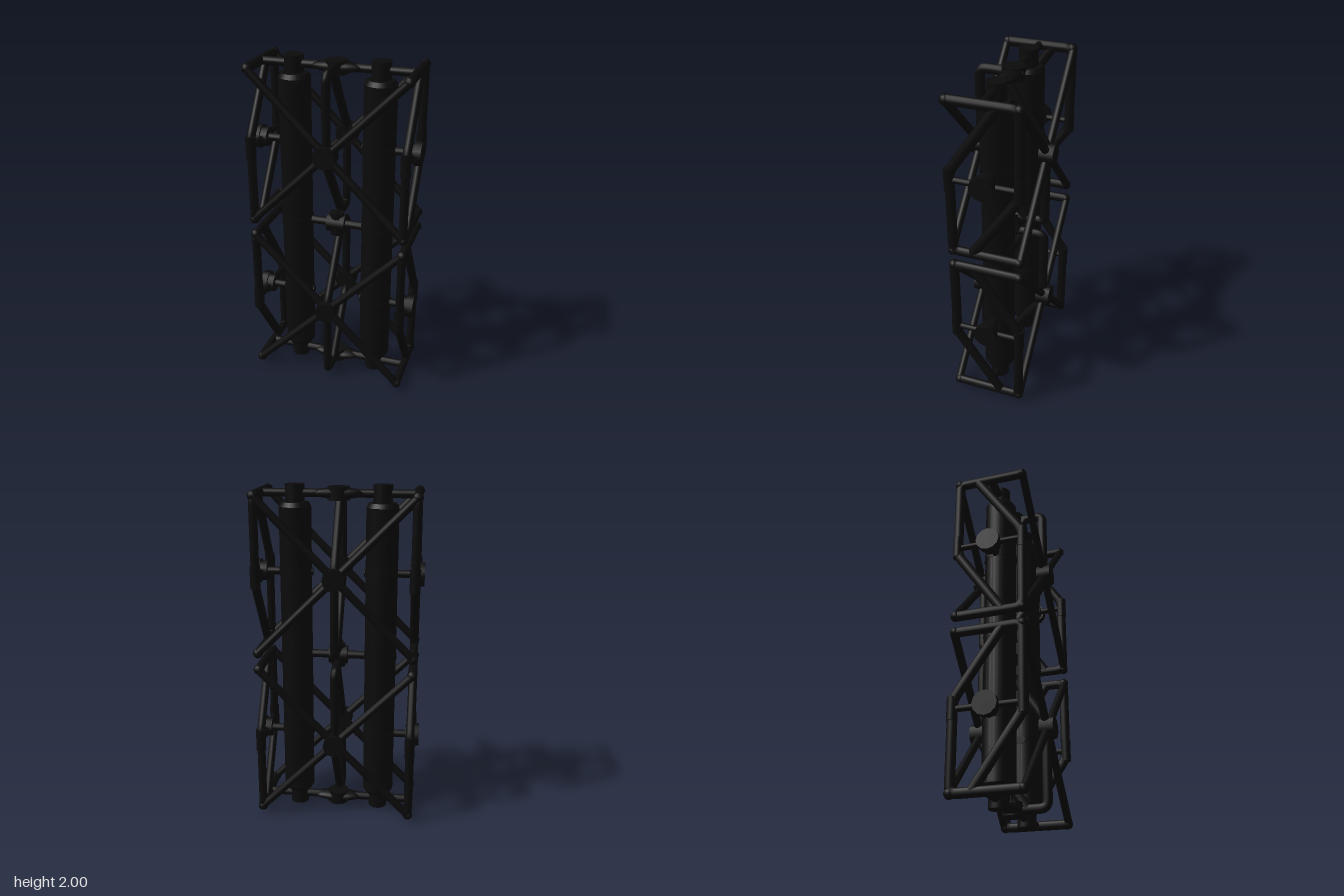
import * as THREE from 'three';

export function createModel() {
  const model = new THREE.Group();
  const black = new THREE.MeshStandardMaterial({ color: 0x0b0b0b });
  black.name = 'matte black';
  const v = (x, y, z) => new THREE.Vector3(x, y, z);
  const up = v(0, 1, 0);

  const add = (name, geometry, parent) => {
    const mesh = new THREE.Mesh(geometry, black);
    mesh.name = name;
    parent.add(mesh);
    return mesh;
  };
  // round bar between two points
  const bar = (name, a, b, r, parent, sides = 12) => {
    const d = b.clone().sub(a);
    const mesh = add(name, new THREE.CylinderGeometry(r, r, d.length(), sides), parent);
    mesh.position.copy(a).addScaledVector(d, 0.5);
    mesh.quaternion.setFromUnitVectors(up, d.normalize());
  };
  // tube through points, with rounded bends, slightly flattened across x
  const bentTube = (name, points, r, parent) => {
    const path = new THREE.CurvePath();
    let start = points[0];
    for (let i = 1; i < points.length - 1; i++) {
      const p = points[i];
      const before = p.clone().add(points[i - 1].clone().sub(p).setLength(0.04));
      const after = p.clone().add(points[i + 1].clone().sub(p).setLength(0.04));
      path.add(new THREE.LineCurve3(start, before));
      path.add(new THREE.QuadraticBezierCurve3(before, p, after));
      start = after;
    }
    path.add(new THREE.LineCurve3(start, points[points.length - 1]));
    return add(name, new THREE.TubeGeometry(path, 90, r, 12).scale(0.85, 1, 1), parent);
  };

  // two long tanks with stepped end caps and thin bands
  const profile = [[0, 0], [0.055, 0], [0.055, 0.1], [0.078, 0.1], [0.093, 0.125],
    [0.093, 1.875], [0.078, 1.9], [0.055, 1.9], [0.055, 2], [0, 2]];
  for (const sx of [-1, 1]) {
    const tank = new THREE.Group();
    tank.name = sx > 0 ? 'leftTank' : 'rightTank';
    tank.position.x = sx * 0.25;
    for (let i = 0; i < profile.length - 1; i++) {
      const pair = [profile[i], profile[i + 1]].map(p => new THREE.Vector2(...p));
      add('tankShell', new THREE.LatheGeometry(pair, 24), tank);
    }
    for (const y of [0.5, 1, 1.5]) {
      add('tankBand', new THREE.CylinderGeometry(0.097, 0.097, 0.04, 24), tank).position.y = y;
    }
    model.add(tank);
  }

  // one truss bay; heights are measured from its middle, s mirrors it vertically
  const makeBay = (name, cy, s) => {
    const bay = new THREE.Group();
    bay.name = name;
    const p = (x, y, z) => v(x, cy + s * y, z);
    const H = 0.45, X = 0.448, Z = 0.2, frameZ = 0.194;

    // bent frame: end rail, half post and slanted rail, twice; f flips front and back
    const bentFrame = (x, f, railEnd) => {
      for (const k of [-1, 1]) {
        const q = (y, z) => p(0, k * y, k * f * z);
        bentTube('bentFrame',
          [q(H, railEnd), q(H, -frameZ), q(-0.05, -frameZ), q(-H, 0.08)], 0.029, bay)
          .position.x = x;
      }
    };
    bentFrame(-X, 1, frameZ);
    bentFrame(X, 1, frameZ);
    bentFrame(0, -1, 0.06);

    for (const sz of [-1, 1]) {
      // crossed braces and hub on the broad faces
      for (const sx of [-1, 1]) {
        bar('crossBrace', p(-sx * 0.445, sx * 0.445, sz * Z), p(sx * 0.445, -sx * 0.445, sz * Z), 0.0235, bay);
        bar('crossBrace', p(0, 0, sz * Z), p(sx * 0.445, sx * 0.445, sz * Z), 0.0235, bay);
      }
      bar('faceHub', p(0, 0, sz * 0.165), p(0, 0, sz * 0.248), 0.064, bay);
    }
    for (const sx of [-1, 1]) {
      const x = sx * X;
      // stepped side hub with its strut into the tank
      bar('middleRail', p(x, 0, -Z), p(x, 0, Z), 0.018, bay);
      bar('sideHub', p(sx * 0.415, 0, 0), p(sx * 0.46, 0, 0), 0.058, bay);
      bar('sideHubCap', p(sx * 0.455, 0, 0), p(sx * 0.497, 0, 0), 0.07, bay);
      bar('hubStrut', p(sx * 0.15, 0, 0), p(sx * 0.46, 0, 0), 0.023, bay);
      for (const sz of [-1, 1]) {
        bar('jointSleeve', p(x, -0.065, sz * 0.196), p(x, 0.065, sz * 0.196), 0.03, bay);
        for (const y of [-H, H]) {
          add('cornerJoint', new THREE.SphereGeometry(0.03, 12, 8), bay)
            .position.copy(p(x, y, sz * 0.195));
        }
      }
    }
    // end beam with a tapered centre clamp
    bar('endBeam', p(-X, H, 0), p(X, H, 0), 0.024, bay);
    const clamp = [[0, -0.14], [0.024, -0.14], [0.042, -0.11], [0.056, -0.06],
      [0.056, 0.06], [0.042, 0.11], [0.024, 0.14], [0, 0.14]];
    const mesh = add('beamClamp', new THREE.LatheGeometry(clamp.map(q => new THREE.Vector2(...q)), 12), bay);
    mesh.rotation.z = Math.PI / 2;
    mesh.scale.x = 0.55;
    mesh.position.copy(p(0, H, 0));
    bar('clampCore', p(0, H - 0.038, 0), p(0, H + 0.038, 0), 0.064, bay);
    model.add(bay);
  };
  makeBay('upperBay', 1.5, 1);
  makeBay('lowerBay', 0.5, -1);

  // middle beam joining the tanks
  bar('middleBeam', v(-0.34, 1, 0), v(0.34, 1, 0), 0.024, model);
  bar('middleHub', v(0, 0.93, 0), v(0, 1.07, 0), 0.042, model);
  bar('middleCollar', v(-0.055, 1, 0), v(0.055, 1, 0), 0.055, model);
  return model;
}
